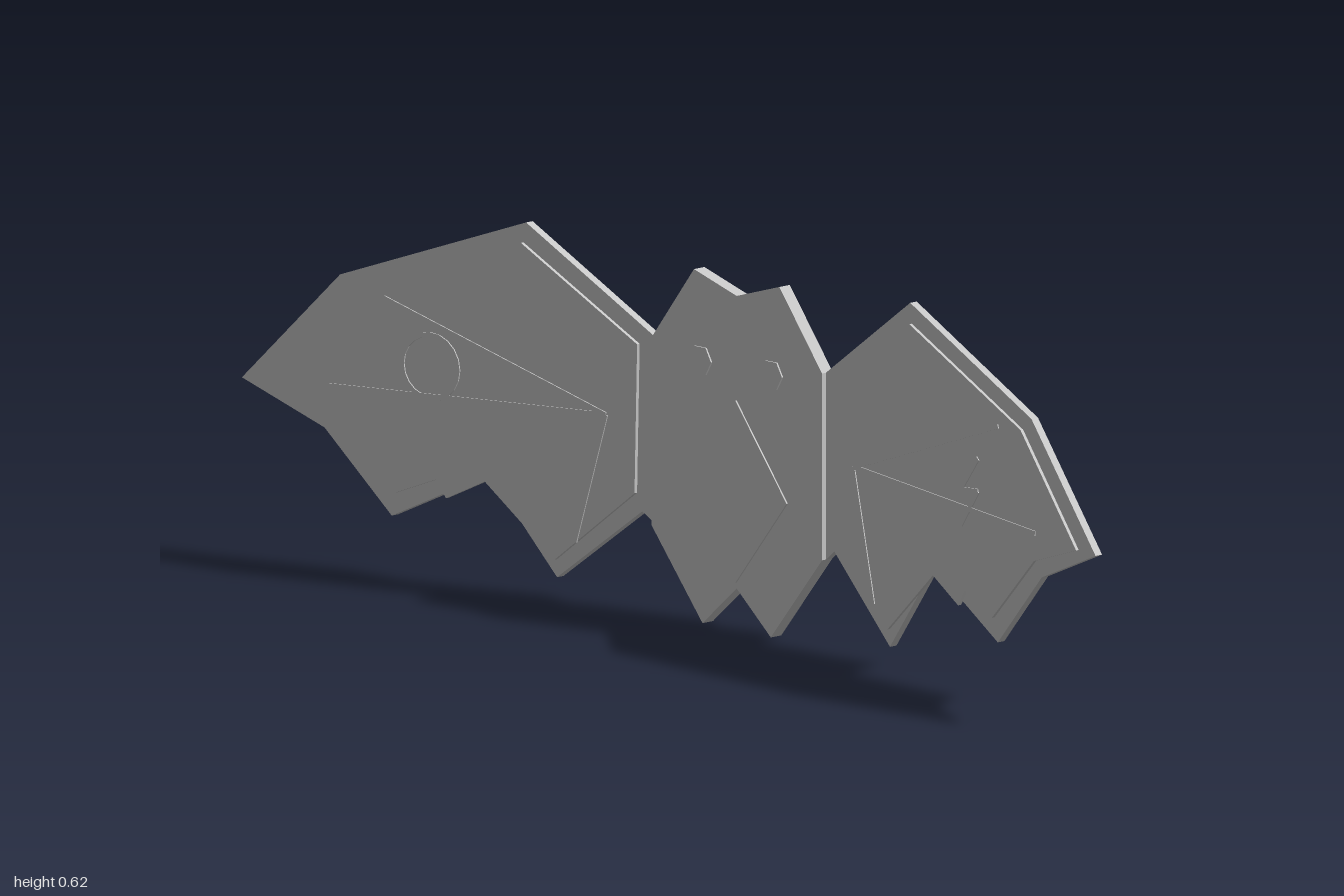
import * as THREE from 'three';

const BACK = -0.09, HINGE = 0.2, SLOPE = 0.206;

export function createModel() {
  const group = new THREE.Group();
  const grey = new THREE.MeshStandardMaterial({ color: 0xc8c8c8 });
  grey.name = 'light grey';

  const toShape = (pts) => new THREE.Shape(pts.map(([x, y]) => new THREE.Vector2(x, y)));

  // flat plate from height z0 to z1 above the back surface; wing plates lean forward
  function plate(parent, name, shape, z0, z1, lean = false) {
    const geo = new THREE.ExtrudeGeometry(shape, { depth: z1 - z0, bevelEnabled: false, curveSegments: 12 });
    const p = geo.attributes.position;
    for (let i = 0; i < p.count; i++) {
      const tilt = lean ? SLOPE * (Math.abs(p.getX(i)) - HINGE) : 0;
      p.setZ(i, p.getZ(i) + BACK + z0 + tilt);
    }
    geo.computeVertexNormals();
    const mesh = new THREE.Mesh(geo, grey);
    mesh.name = name;
    parent.add(mesh);
  }

  // thin straight bar between two points
  function bar([ax, ay], [bx, by], w) {
    const l = Math.hypot(bx - ax, by - ay);
    const nx = -(by - ay) / l * w / 2, ny = (bx - ax) / l * w / 2;
    return toShape([[ax + nx, ay + ny], [ax - nx, ay - ny], [bx - nx, by - ny], [bx + nx, by + ny]]);
  }

  function polygon(cx, cy, r, n) {
    return Array.from({ length: n }, (_, i) => {
      const a = i / n * Math.PI * 2;
      return [cx + r * Math.cos(a), cy + r * Math.sin(a)];
    });
  }

  // body with ears and forked tail
  const body = new THREE.Group();
  body.name = 'body';
  group.add(body);
  plate(body, 'bodyPlate', toShape([
    [-0.2, 0.46], [-0.1, 0.59], [0, 0.56], [0.1, 0.59], [0.2, 0.46],
    [0.2, 0.147], [0.08, 0], [0, 0.07], [-0.08, 0], [-0.2, 0.147],
  ]), 0, 0.024);
  plate(body, 'chestDiamond', toShape([[0, 0.385], [0.12, 0.23], [0, 0.08], [-0.12, 0.23]]), 0.023, 0.027);
  for (const s of [-1, 1]) plate(body, 'eye', toShape(polygon(s * 0.083, 0.44, 0.026, 6)), 0.023, 0.027);

  // wings
  const outline = [
    [0.2, 0.46], [0.45, 0.622], [0.81, 0.492], [1, 0.297], [0.84, 0.232],
    [0.71, 0.1], [0.52, 0.192], [0.39, 0.035], [0.225, 0.165], [0.2, 0.147],
  ];
  const inner = [
    [0.23, 0.445], [0.455, 0.588], [0.785, 0.47], [0.95, 0.298], [0.825, 0.258],
    [0.7, 0.14], [0.62, 0.172], [0.6, 0.143], [0.525, 0.18], [0.39, 0.065], [0.235, 0.195],
  ];
  const hub = [0.29, 0.32];
  const ribEnds = [[0.72, 0.465], [0.83, 0.305], [0.35, 0.1]];

  for (const s of [-1, 1]) {
    const side = (pts) => pts.map(([x, y]) => [s * x, y]);
    const wing = new THREE.Group();
    wing.name = s > 0 ? 'leftWing' : 'rightWing';
    group.add(wing);
    plate(wing, 'wingPlate', toShape(side(outline)), 0, 0.015, true);
    plate(wing, 'wingPanel', toShape(side(inner)), 0.014, 0.021, true);
    for (const end of ribEnds) {
      const [a, b] = side([hub, end]);
      plate(wing, 'wingRib', bar(a, b, 0.008), 0.02, 0.023, true);
    }
    if (s < 0) {
      // round ornament
      const ring = toShape(polygon(-0.63, 0.36, 0.058, 20));
      ring.holes.push(toShape(polygon(-0.63, 0.36, 0.05, 20)));
      plate(wing, 'ringOrnament', ring, 0.02, 0.023, true);
    } else {
      // zigzag ornament
      const bolt = [[0.66, 0.4], [0.61, 0.34], [0.66, 0.345], [0.61, 0.28]];
      for (let i = 0; i < 3; i++) plate(wing, 'zigzagOrnament', bar(bolt[i], bolt[i + 1], 0.008), 0.02, 0.023, true);
    }
  }
  return group;
}
